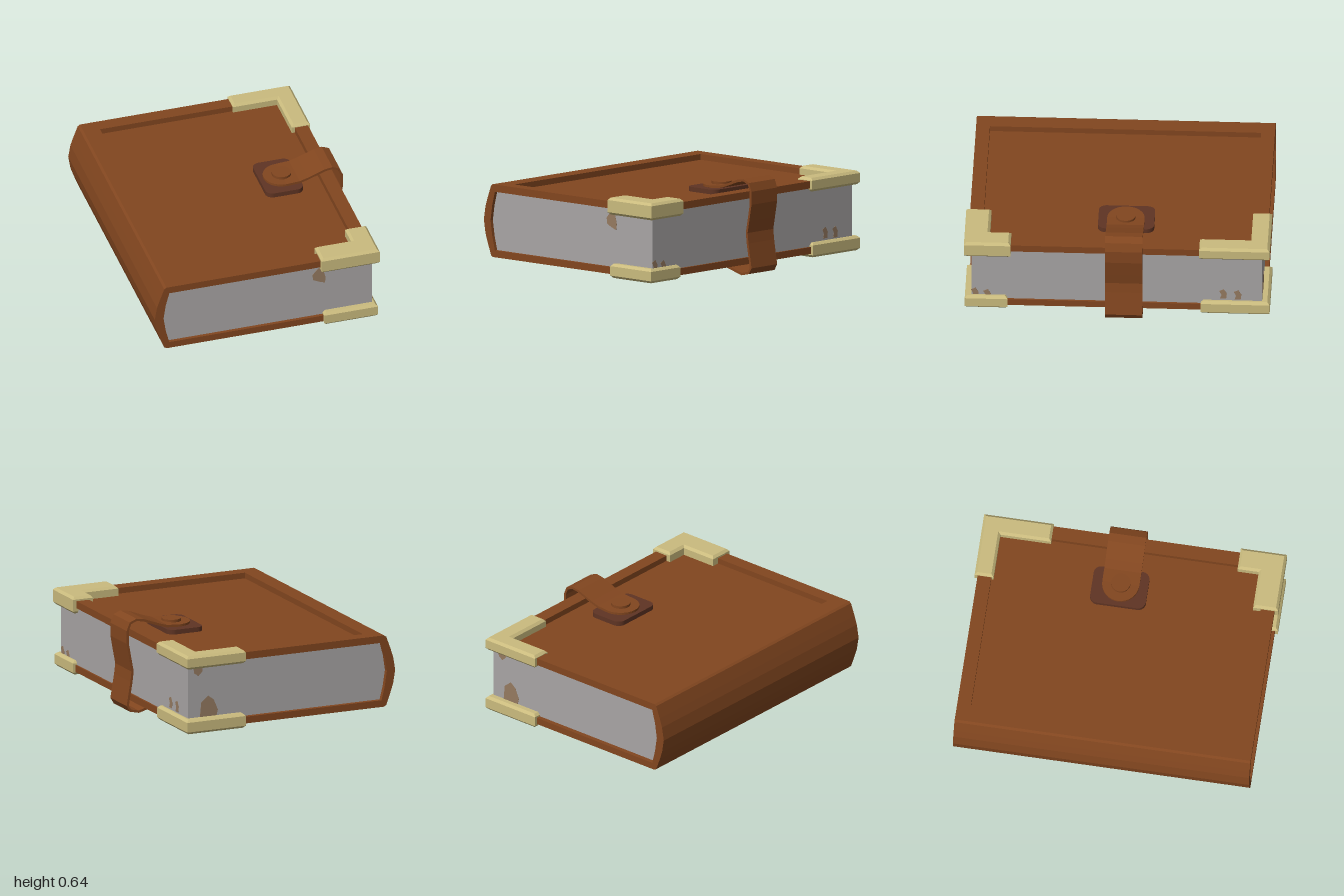
import * as THREE from 'three';

const mat = (name, color) => new THREE.MeshStandardMaterial({ name, color });

export function createModel() {
  const book = new THREE.Group();
  book.name = 'claspedBook';
  const leather = mat('brown leather', 0x82461f);
  const darkLeather = mat('dark leather', 0x5f3423);
  const gold = mat('pale gold', 0xcabb7e);
  const paper = mat('grey paper', 0xa8a5a5);
  const stain = mat('paper stain', 0x957a60);

  const add = (name, geometry, material) => {
    const mesh = new THREE.Mesh(geometry, material);
    mesh.name = name;
    book.add(mesh);
    return mesh;
  };
  const outline = (pts) => new THREE.Shape(pts.map(([x, y]) => new THREE.Vector2(x, y)));

  // Prism of an (x, y) outline running from z0 to z1
  const alongZ = (shape, z0, z1) =>
    new THREE.ExtrudeGeometry(shape, { depth: z1 - z0, bevelEnabled: false, curveSegments: 8 }).translate(0, 0, z0);

  // Plate with an (x, z) outline between heights y0 and y1, optionally chamfered
  const plate = (shape, y0, y1, bevel = 0) =>
    new THREE.ExtrudeGeometry(shape, {
      depth: y1 - y0 - 2 * bevel, curveSegments: 8, bevelEnabled: bevel > 0,
      bevelThickness: bevel, bevelSize: bevel, bevelOffset: -bevel, bevelSegments: 1,
    }).rotateX(Math.PI / 2).translate(0, y1 - bevel, 0);

  const rect = (x0, x1, z0, z1) => [[x0, z0], [x1, z0], [x1, z1], [x0, z1]];

  // Page block with a rounded back
  const pageBack = [[-0.68, 0.515], [-0.705, 0.42], [-0.72, 0.32], [-0.705, 0.22], [-0.68, 0.12]];
  add('pages', alongZ(outline([[0.707, 0.515], ...pageBack, [0.707, 0.12]]), -0.95, 0.948), paper);

  // Spine, a faceted curved shell
  const spineOuter = [[-0.70, 0.08], [-0.715, 0.09], [-0.745, 0.17], [-0.765, 0.23], [-0.78, 0.32],
    [-0.765, 0.41], [-0.745, 0.47], [-0.715, 0.55], [-0.70, 0.56]];
  add('spine', alongZ(outline([...spineOuter, [-0.68, 0.56], ...pageBack, [-0.68, 0.08]]), -0.98, 0.97), leather);

  // Cover boards: raised border around a sunken panel
  const board = (name, y0, y1, floor0, floor1) => {
    const frame = outline(rect(-0.695, 0.72, -0.98, 0.97));
    frame.holes.push(new THREE.Path(rect(-0.59, 0.63, -0.89, 0.88).map(([x, z]) => new THREE.Vector2(x, z))));
    add(name + 'Border', plate(frame, y0, y1), leather);
    add(name + 'Panel', plate(outline(rect(-0.59, 0.63, -0.89, 0.88)), floor0, floor1), leather);
  };
  board('topCover', 0.512, 0.56, 0.512, 0.522);
  board('bottomCover', 0.08, 0.125, 0.102, 0.125);

  // L-shaped metal corners: long arm along x, short arm along z
  const corner = (name, x0, x1, xIn, zOut, zIn, zEnd, y0, y1) =>
    add(name, plate(outline([[x0, zOut], [x1, zOut], [x1, zEnd], [xIn, zEnd], [xIn, zIn], [x0, zIn]]), y0, y1, 0.016), gold);
  corner('topFrontCorner', 0.35, 0.745, 0.60, 0.995, 0.83, 0.69, 0.475, 0.587);
  corner('topBackCorner', 0.31, 0.735, 0.61, -1.0, -0.875, -0.54, 0.49, 0.58);
  corner('bottomFrontCorner', 0.37, 0.735, 0.60, 0.99, 0.83, 0.71, 0.058, 0.152);
  corner('bottomBackCorner', 0.31, 0.735, 0.61, -1.0, -0.875, -0.55, 0.055, 0.152);

  // Strap looping around the fore edge
  const zMid = -0.048, half = 0.122, t = 0.008;
  const path = [[0.39, 0.56], [0.48, 0.566], [0.54, 0.584], [0.65, 0.625], [0.70, 0.633], [0.745, 0.615],
    [0.765, 0.565], [0.765, 0.48], [0.745, 0.37], [0.73, 0.29], [0.738, 0.22], [0.765, 0.06],
    [0.745, 0.027], [0.685, 0.013], [0.54, 0.053], [0.48, 0.062], [0.37, 0.062]];
  const side = (s) => path.map(([x, y], i) => {
    const a = path[Math.max(i - 1, 0)], b = path[Math.min(i + 1, path.length - 1)];
    const dx = b[0] - a[0], dy = b[1] - a[1], len = Math.hypot(dx, dy);
    return [x - (dy / len) * t * s, y + (dx / len) * t * s];
  });
  add('strap', alongZ(outline([...side(1), ...side(-1).reverse()]), zMid - half, zMid + half), leather);

  // Rounded strap end, backing patch and round stud on each cover
  const clasp = (name, x, patch0, patch1, strapY, stud0, stud1) => {
    const end = new THREE.Shape();
    end.absarc(x, zMid, half, Math.PI / 2, Math.PI * 1.5, false);
    add(name + 'StrapEnd', plate(end, strapY - t, strapY + t), leather);

    const patch = new THREE.Shape();
    const x0 = x - 0.15, x1 = x + 0.105, z0 = zMid - 0.187, z1 = zMid + 0.18, r = 0.05;
    patch.absarc(x1 - r, z1 - r, r, 0, Math.PI / 2, false);
    patch.absarc(x0 + r, z1 - r, r, Math.PI / 2, Math.PI, false);
    patch.absarc(x0 + r, z0 + r, r, Math.PI, Math.PI * 1.5, false);
    patch.absarc(x1 - r, z0 + r, r, Math.PI * 1.5, Math.PI * 2, false);
    add(name + 'Patch', plate(patch, patch0, patch1), darkLeather);

    const stud = add(name + 'Stud', new THREE.CylinderGeometry(0.064, 0.064, stud1 - stud0, 16), leather);
    stud.position.set(x, (stud0 + stud1) / 2, zMid);
  };
  clasp('topClasp', 0.39, 0.52, 0.553, 0.56, 0.56, 0.586);
  clasp('bottomClasp', 0.37, 0.067, 0.105, 0.062, 0.042, 0.065);

  // Thin stains on the page edges
  const blot = (name, pts, place) => place(add(name, alongZ(outline(pts), 0, 0.004), stain));
  blot('frontStain', [[0.34, 0.49], [0.30, 0.445], [0.305, 0.405], [0.345, 0.385], [0.385, 0.37], [0.39, 0.41], [0.37, 0.49]],
    (m) => m.position.set(0, 0, 0.946));
  const onBack = (m) => m.position.set(0, 0, -0.952);
  blot('backLowerStain', [[0.62, 0.15], [0.61, 0.25], [0.56, 0.29], [0.52, 0.26], [0.49, 0.19], [0.50, 0.15]], onBack);
  blot('backUpperStain', [[0.67, 0.5], [0.66, 0.45], [0.63, 0.43], [0.60, 0.46], [0.60, 0.5]], onBack);
  const leaf = [[-0.02, 0], [0.02, 0.0], [0.025, 0.04], [0.005, 0.075], [-0.025, 0.06], [-0.01, 0.03]];
  for (const [z, y] of [[0.925, 0.13], [0.845, 0.12], [-0.695, 0.165], [-0.79, 0.16]]) {
    blot('foreEdgeStain', leaf, (m) => {
      m.rotation.y = Math.PI / 2;
      m.position.set(0.705, y, z);
    });
  }
  return book;
}
